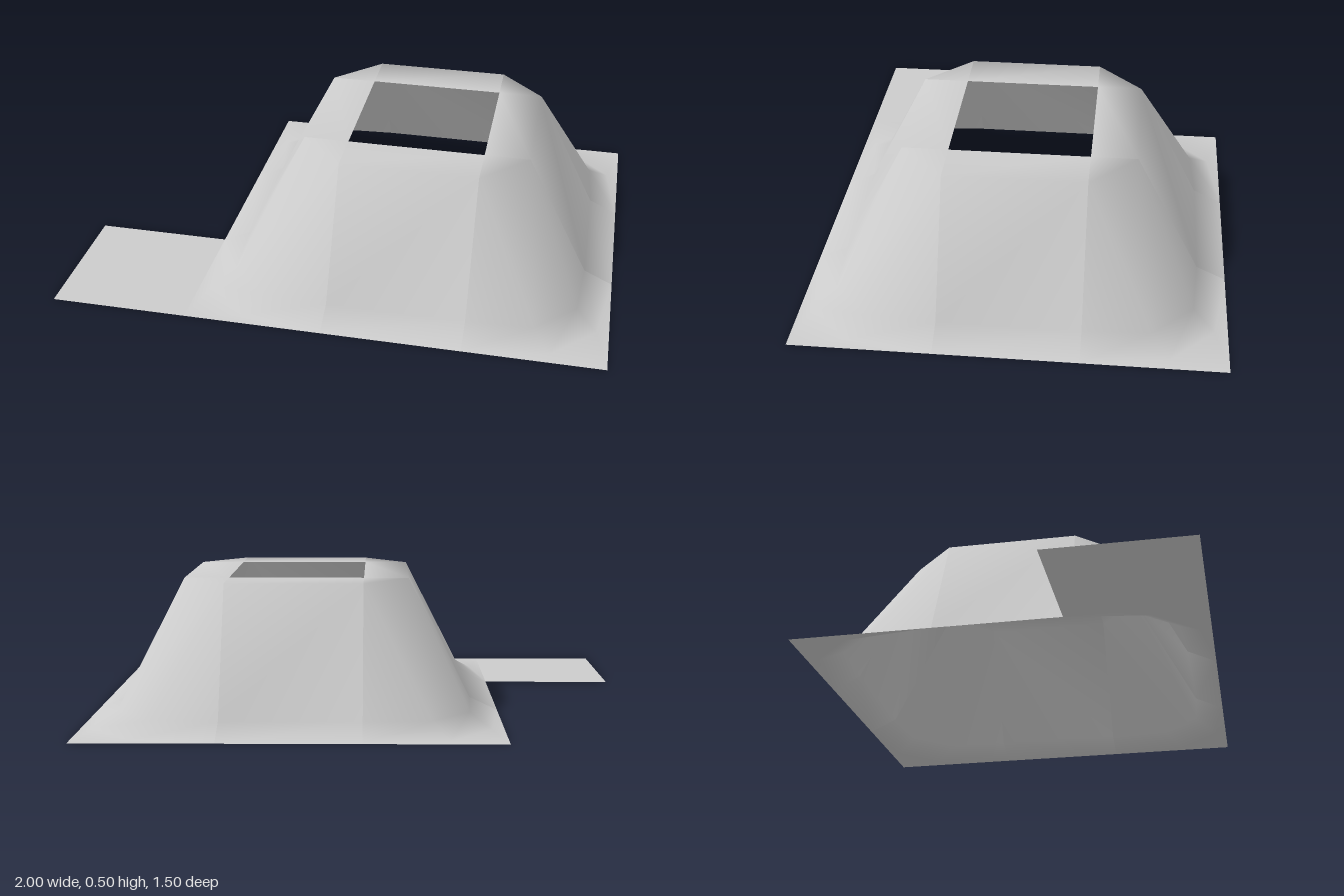
import * as THREE from 'three';

// Indexed surface with smooth normals inside each tile
function surface(points, index) {
  const g = new THREE.BufferGeometry();
  g.setAttribute('position', new THREE.Float32BufferAttribute(points.flat(), 3));
  g.setIndex(index.flat());
  g.computeVertexNormals();
  return g;
}

// Straight slope tile: half width 0.25, profile runs outward as [distance, height]
function slopeGeometry() {
  const profile = [[0.25, 0.5], [0.415, 0.5], [0.645, 0.05], [0.75, 0]];
  const points = [], index = [];
  profile.forEach(([d, y], i) => {
    points.push([-0.25, y, d], [0.25, y, d]);
    const a = 2 * i;
    if (i < profile.length - 1) index.push([a, a + 2, a + 1], [a + 1, a + 2, a + 3]);
  });
  return surface(points, index);
}

// Chamfered outer corner tile, widening from the plateau to the flat ground corner
function cornerGeometry() {
  const points = [
    [0.25, 0.5, 0.25],                                                              // plateau corner
    [0.25, 0.5, 0.415], [0.415, 0.5, 0.25],                                         // rim
    [0.25, 0.05, 0.645], [0.49, 0.05, 0.63], [0.63, 0.05, 0.49], [0.645, 0.05, 0.25], // foot
    [0.25, 0, 0.75], [0.55, 0, 0.705], [0.705, 0, 0.55], [0.75, 0, 0.25],           // ground line
    [0.75, 0, 0.75],                                                                // outer corner
  ];
  const index = [
    [0, 1, 2],
    [1, 3, 4], [1, 4, 2], [2, 4, 5], [2, 5, 6],
    [7, 11, 8], [8, 11, 9], [9, 11, 10],
  ];
  for (let i = 3; i < 6; i++) index.push([i, i + 4, i + 1], [i + 1, i + 4, i + 5]);
  return surface(points, index);
}

export function createModel() {
  const model = new THREE.Group();
  model.name = 'hillTiles';
  const grey = new THREE.MeshStandardMaterial({ color: 0xcccccc, side: THREE.DoubleSide });
  grey.name = 'light grey';

  // Ring of four slopes and four corners around the open centre
  const hill = new THREE.Group();
  hill.name = 'hill';
  hill.position.x = 0.25;
  const slope = slopeGeometry(), corner = cornerGeometry();
  for (let i = 0; i < 4; i++) {
    for (const [name, geometry] of [['slopeTile', slope], ['cornerTile', corner]]) {
      const tile = new THREE.Mesh(geometry, grey);
      tile.name = name + (i + 1);
      tile.rotation.y = i * Math.PI / 2;
      hill.add(tile);
    }
  }
  model.add(hill);

  // Flat ground tile beside the hill
  const flat = new THREE.Mesh(new THREE.PlaneGeometry(0.5, 0.5).rotateX(-Math.PI / 2), grey);
  flat.name = 'flatTile';
  flat.position.set(-0.75, 0, 0.5);
  model.add(flat);
  return model;
}
